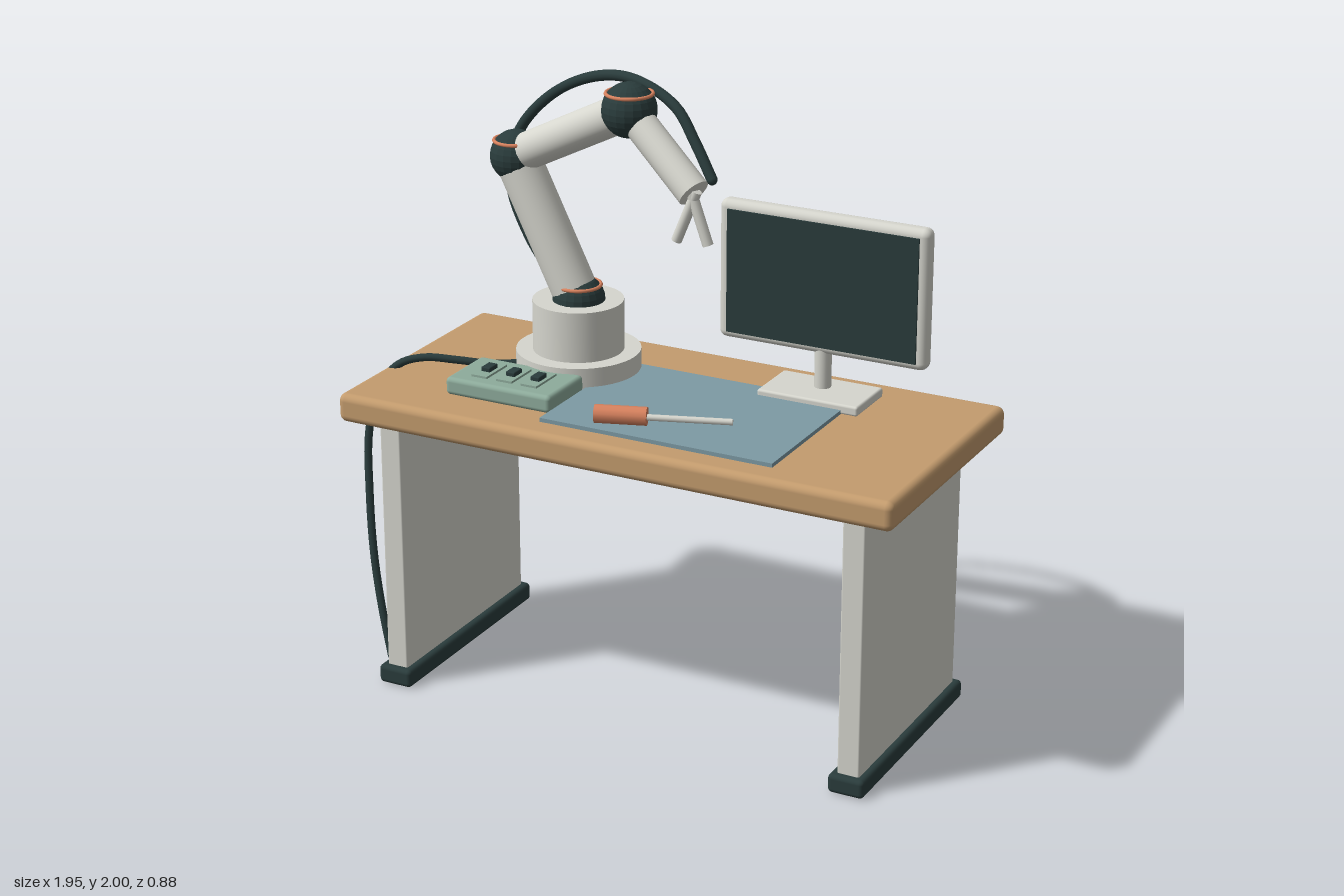
import * as THREE from 'three';
import { RoundedBoxGeometry } from 'three/addons/geometries/RoundedBoxGeometry.js';

const paint = (name, color) => {
  const m = new THREE.MeshStandardMaterial({ color });
  m.name = name;
  return m;
};

export function createModel() {
  const model = new THREE.Group();
  model.name = 'workbenchWithRobotArm';

  const wood = paint('wood', 0xc49c6e);
  const shell = paint('lightGrey', 0xd6d6ce);
  const dark = paint('darkGreen', 0x2a3c3c);
  const orange = paint('orange', 0xd9835f);
  const green = paint('sageGreen', 0x8eac9c);
  const blue = paint('matBlue', 0x7d9aa4);

  const V = (x, y, z) => new THREE.Vector3(x, y, z);
  const add = (name, geometry, material, parent = model) => {
    const mesh = new THREE.Mesh(geometry, material);
    mesh.name = name;
    parent.add(mesh);
    return mesh;
  };

  // Box given by its limits, with rounded edges when r > 0
  const box = (name, material, [x0, x1], [y0, y1], [z0, z1], r = 0, parent = model) => {
    const size = [x1 - x0, y1 - y0, z1 - z0];
    const geometry = r ? new RoundedBoxGeometry(...size, 3, r) : new THREE.BoxGeometry(...size);
    const mesh = add(name, geometry, material, parent);
    mesh.position.set((x0 + x1) / 2, (y0 + y1) / 2, (z0 + z1) / 2);
    return mesh;
  };

  // Cylinder running between two points
  const rod = (name, material, a, b, r, sides = 24, parent = model) => {
    const mesh = add(name, new THREE.CylinderGeometry(r, r, a.distanceTo(b), sides), material, parent);
    mesh.position.copy(a).lerp(b, 0.5);
    mesh.quaternion.setFromUnitVectors(V(0, 1, 0), b.clone().sub(a).normalize());
    return mesh;
  };

  // Smooth cable with closed ends
  const cable = (name, points, r) => {
    const vs = points.map((p) => V(...p));
    add(name, new THREE.TubeGeometry(new THREE.CatmullRomCurve3(vs), 72, r, 10), dark);
    for (const end of [vs[0], vs[vs.length - 1]]) {
      add(name + 'End', new THREE.SphereGeometry(r, 10, 8), dark).position.copy(end);
    }
  };

  // Desk
  box('deskTop', wood, [-0.925, 0.97], [0.91, 1.005], [-0.443, 0.44], 0.025);
  for (const [x0, x1] of [[-0.815, -0.742], [0.785, 0.858]]) {
    box('legPanel', shell, [x0, x1], [0.05, 0.92], [-0.365, 0.37], 0.006);
    box('foot', dark, [x0 - 0.023, x1 + 0.023], [0, 0.062], [-0.39, 0.393], 0.015);
  }
  box('crossBeam', shell, [-0.75, 0.79], [0.785, 0.877], [-0.345, -0.2], 0.012);

  // Work mat
  box('workMat', blue, [-0.245, 0.545], [1.0, 1.018], [-0.208, 0.35]);

  // Control box with three switches
  const controls = new THREE.Group();
  controls.name = 'controlBox';
  model.add(controls);
  box('controlCase', green, [-0.622, -0.247], [1.004, 1.062], [0.065, 0.285], 0.015, controls);
  for (const x of [-0.525, -0.436, -0.347]) {
    box('switchPlate', green, [x - 0.028, x + 0.028], [1.06, 1.069], [0.113, 0.239], 0, controls);
    box('switchToggle', dark, [x - 0.016, x + 0.016], [1.065, 1.083], [0.15, 0.2], 0.004, controls);
  }

  // Monitor
  const monitor = new THREE.Group();
  monitor.name = 'monitor';
  model.add(monitor);
  box('monitorCase', shell, [0.075, 0.783], [1.15, 1.605], [-0.285, -0.225], 0.025, monitor);
  box('screen', dark, [0.107, 0.752], [1.175, 1.578], [-0.227, -0.219], 0, monitor);
  rod('monitorPost', shell, V(0.428, 1.03, -0.255), V(0.428, 1.17, -0.255), 0.027, 24, monitor);
  box('monitorFoot', shell, [0.257, 0.6], [1.004, 1.036], [-0.333, -0.135], 0.008, monitor);

  // Robot arm
  const arm = new THREE.Group();
  arm.name = 'robotArm';
  model.add(arm);
  const shoulder = V(-0.355, 1.243, -0.1);
  const elbow = V(-0.575, 1.688, -0.1);
  const wrist = V(-0.13, 1.913, -0.025);
  const hand = V(0.13, 1.708, 0.052);
  rod('armFoot', shell, V(-0.36, 1.0, -0.105), V(-0.36, 1.08, -0.105), 0.2, 48, arm);
  rod('armBase', shell, V(-0.36, 1.08, -0.105), V(-0.36, 1.245, -0.105), 0.146, 48, arm);
  rod('upperArm', shell, shoulder, elbow, 0.073, 32, arm);
  rod('forearm', shell, elbow, wrist, 0.06, 32, arm);
  rod('handTube', shell, wrist, hand, 0.052, 32, arm);

  // Faceted joints with a coloured ring
  for (const [name, at, r] of [['shoulder', shoulder, 0.085], ['elbow', elbow, 0.084], ['wrist', wrist, 0.087]]) {
    const ball = new THREE.SphereGeometry(r, 20, 14).toNonIndexed();
    ball.computeVertexNormals();
    add(name + 'Joint', ball, dark, arm).position.copy(at);
    const ring = add(name + 'Ring', new THREE.TorusGeometry(r * 0.83, 0.006, 8, 40), orange, arm);
    ring.rotation.x = Math.PI / 2;
    ring.position.copy(at).y += r * 0.6;
  }

  // Gripper
  for (const [top, tip] of [[0.14, 0.072], [0.12, 0.179]]) {
    rod('gripperFinger', shell, V(top, 1.715, 0.052), V(tip, 1.55, 0.052), 0.017, 12, arm);
  }

  // Cables
  cable('armCable', [
    [-0.475, 1.24, -0.19], [-0.59, 1.4, -0.19], [-0.65, 1.56, -0.19], [-0.62, 1.73, -0.188],
    [-0.5, 1.87, -0.183], [-0.33, 1.96, -0.158], [-0.16, 1.982, -0.118], [0, 1.925, -0.08],
    [0.08, 1.83, -0.055], [0.15, 1.73, -0.03],
  ], 0.017);
  cable('powerCord', [
    [-0.5, 1.025, -0.04], [-0.6, 1.03, 0.04], [-0.7, 1.04, 0.085], [-0.8, 1.043, 0.12],
    [-0.88, 1.015, 0.148], [-0.94, 0.93, 0.18], [-0.966, 0.78, 0.205], [-0.952, 0.6, 0.235],
    [-0.925, 0.4, 0.265], [-0.885, 0.22, 0.29], [-0.84, 0.06, 0.31],
  ], 0.013);

  // Screwdriver
  const driver = new THREE.Group();
  driver.name = 'screwdriver';
  model.add(driver);
  rod('driverHandle', orange, V(-0.079, 1.046, 0.301), V(0.075, 1.046, 0.249), 0.029, 12, driver);
  rod('driverShaft', shell, V(0.07, 1.043, 0.251), V(0.323, 1.043, 0.164), 0.01, 12, driver);

  // Centre across the floor
  model.children.forEach((part) => { part.position.x += 0.0; });
  return model;
}
